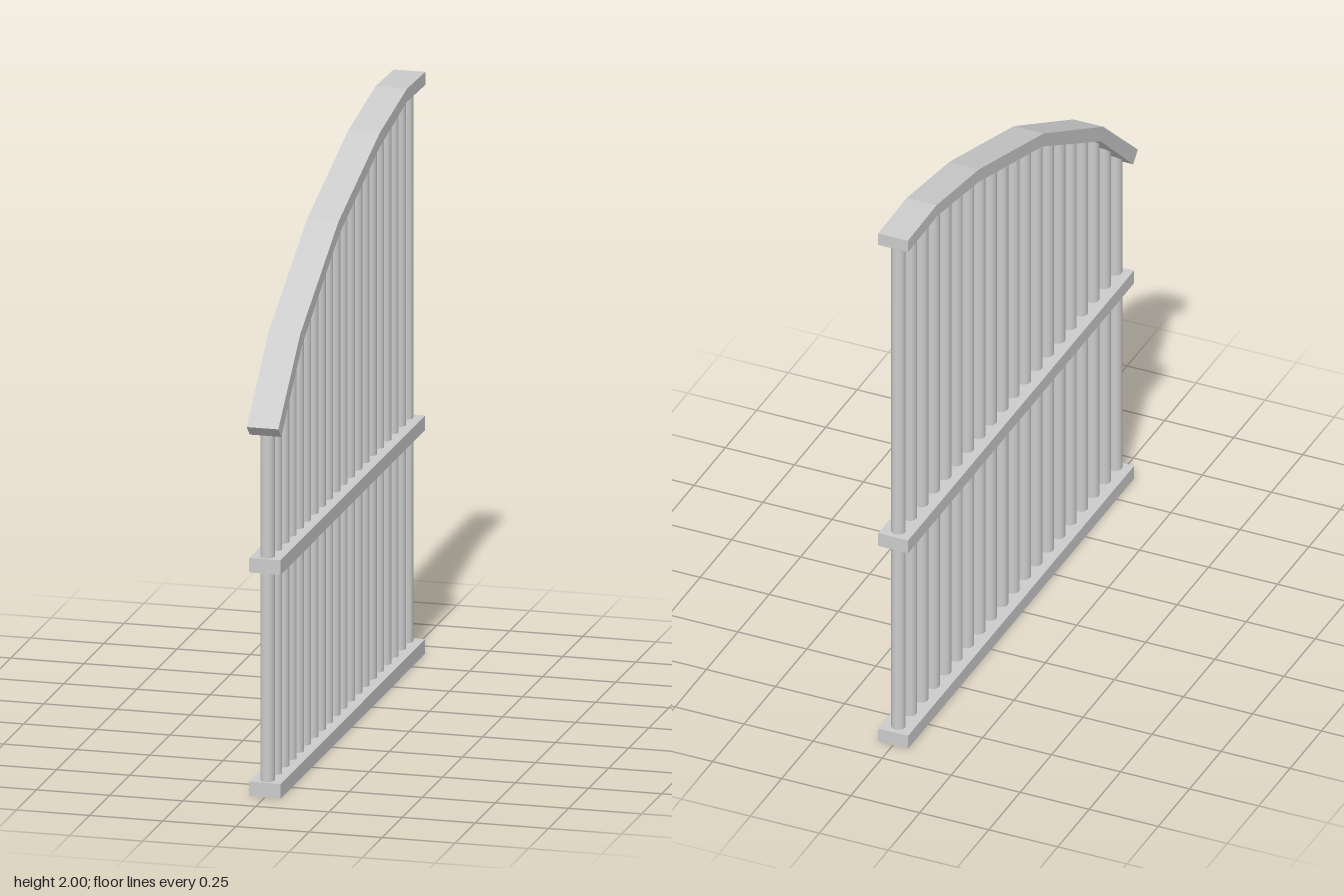
import * as THREE from 'three';

const WIDTH = 0.108;   // rail width across x
const RAIL_Z = -0.012; // rail centre along z
const RAIL_LENGTH = 1.8;

// Edges of the arched top rail as [z, y]
const UPPER = [[0.918, 1.274], [0.643, 1.526], [0.167, 1.78], [-0.347, 1.942], [-0.685, 2], [-0.913, 1.995]];
const LOWER = [[0.881, 1.238], [0.622, 1.481], [0.156, 1.735], [-0.352, 1.895], [-0.68, 1.955], [-0.913, 1.95]];

// Height of an edge line at a given z
function heightAt(line, z) {
  const i = Math.max(1, line.findIndex((p) => p[0] <= z));
  const [z0, y0] = line[i - 1], [z1, y1] = line[i];
  return y0 + (y1 - y0) * (z - z0) / (z1 - z0);
}

export function createModel() {
  const group = new THREE.Group();
  const material = new THREE.MeshStandardMaterial({ color: 0xcccccc });
  const add = (name, geometry, x, y, z) => {
    const mesh = new THREE.Mesh(geometry, material);
    mesh.name = name;
    mesh.position.set(x, y, z);
    group.add(mesh);
  };

  // Straight rails
  const rail = new THREE.BoxGeometry(WIDTH, 0.05, RAIL_LENGTH);
  add('bottomRail', rail, 0, 0.025, RAIL_Z);
  add('middleRail', rail, 0, 0.792, RAIL_Z);

  // Arched top rail, extruded across x
  const outline = [...UPPER, ...[...LOWER].reverse()].map(([z, y]) => new THREE.Vector2(z, y));
  const arch = new THREE.ExtrudeGeometry(new THREE.Shape(outline), { depth: WIDTH, bevelEnabled: false });
  arch.translate(0, 0, -WIDTH / 2).rotateY(-Math.PI / 2);
  add('topRail', arch, 0, 0, 0);

  // Round bars, each reaching just inside the arch
  const count = 20, base = 0.03;
  for (let i = 0; i < count; i++) {
    const z = 0.855 - i * 0.0908;
    const height = heightAt(LOWER, z) + 0.02 - base;
    add('bar' + (i + 1), new THREE.CylinderGeometry(0.024, 0.024, height, 16), 0, base + height / 2, z);
  }
  return group;
}
